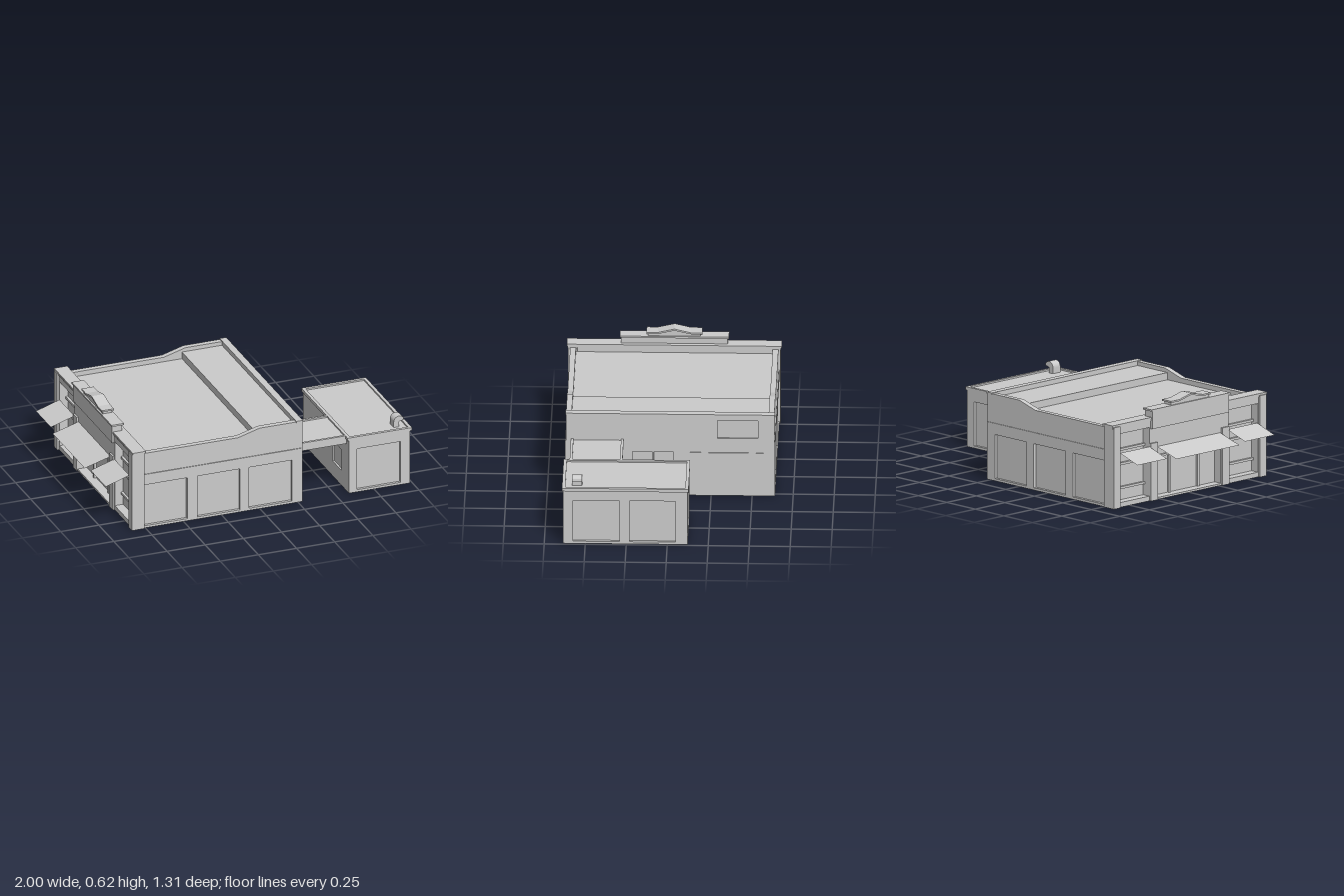
import * as THREE from 'three';

const mat = new THREE.MeshStandardMaterial({ color: 0xcccccc, side: THREE.DoubleSide, flatShading: true });

export function createModel() {
  const model = new THREE.Group();

  const add = (name, geo, parent = model) => {
    const mesh = new THREE.Mesh(geo, mat);
    mesh.name = name;
    parent.add(mesh);
    return mesh;
  };
  // Box given by its limits on each axis
  const box = (name, x0, x1, y0, y1, z0, z1, parent) =>
    add(name, new THREE.BoxGeometry(x1 - x0, y1 - y0, z1 - z0)
      .translate((x0 + x1) / 2, (y0 + y1) / 2, (z0 + z1) / 2), parent);

  const rect = ([a, b, c, d]) => [[a, c], [b, c], [b, d], [a, d]];
  const toVec = pts => pts.map(p => new THREE.Vector2(...p));
  const extrude = (outline, holes, depth) => {
    const shape = new THREE.Shape(toVec(outline));
    holes.forEach(h => shape.holes.push(new THREE.Path(toVec(rect(h)))));
    return new THREE.ExtrudeGeometry(shape, { depth, bevelEnabled: false });
  };
  // Wall across x, starting at z and running toward +z
  const wallX = (name, outline, holes, z, depth) =>
    add(name, extrude(outline, holes, depth).translate(0, 0, z));
  // Wall across z, starting at x and running toward +x; outline is in (z, y)
  const wallZ = (name, outline, holes, x, depth) =>
    add(name, extrude(outline.map(([z, y]) => [-z, y]).reverse(),
      holes.map(([a, b, c, d]) => [-b, -a, c, d]), depth)
      .rotateY(Math.PI / 2).translate(x, 0, 0));
  // Thin sheets that close the openings
  const panelX = (name, [a, b, c, d], z) =>
    add(name, new THREE.PlaneGeometry(b - a, d - c).translate((a + b) / 2, (c + d) / 2, z));
  const panelZ = (name, [a, b, c, d], x) =>
    add(name, new THREE.PlaneGeometry(b - a, d - c).rotateY(Math.PI / 2).translate(x, (c + d) / 2, (a + b) / 2));

  // Long side walls: panelled base, slightly set back upper wall with a raised parapet
  const bays = [[-0.755, -0.475, 0.015, 0.29], [-0.41, -0.13, 0.015, 0.29], [-0.07, 0.21, 0.015, 0.29]];
  const upper = [[-0.77, 0.36], [0.28, 0.36], [0.28, 0.54], [0, 0.54], [-0.14, 0.5], [-0.77, 0.5]];
  for (const s of [1, -1]) {
    const name = s > 0 ? 'front' : 'back';
    wallX(name + 'Wall', rect([-0.77, 0.28, 0, 0.36]), bays, s > 0 ? 0.62 : -0.64, 0.02);
    wallX(name + 'UpperWall', upper, [], s > 0 ? 0.6 : -0.635, 0.035);
    bays.forEach(b => panelX(name + 'Panel', b, s * 0.621));
  }

  // Long wall facing the annex, with its window, hatch and door
  const openings = [[-0.535, -0.29, 0.385, 0.505], [-0.02, 0.23, 0.1, 0.29], [0.36, 0.51, 0.012, 0.27]];
  wallZ('sideWall', rect([-0.635, 0.635, 0, 0.36]), openings.slice(1), 0.26, 0.02);
  wallZ('sideUpperWall', rect([-0.635, 0.635, 0.36, 0.54]), openings.slice(0, 1), 0.24, 0.04);
  openings.forEach((o, i) => panelZ(['window', 'serviceWindow', 'sideDoor'][i], o, i ? 0.262 : 0.27));
  box('sideCoping', 0.24, 0.283, 0.535, 0.545, -0.638, 0.638);
  box('sideBand', 0.27, 0.286, 0.25, 0.29, -0.57, -0.12);
  box('windowMullion', 0.26, 0.275, 0.1, 0.29, 0.1, 0.11);
  box('doorStep', 0.28, 0.31, 0, 0.01, 0.37, 0.5);

  // Roof in two levels with a riser
  box('lowerRoof', -0.77, -0.02, 0.465, 0.47, -0.61, 0.61);
  box('upperRoof', -0.02, 0.25, 0.51, 0.515, -0.61, 0.61);
  box('roofRiser', -0.022, -0.018, 0.465, 0.515, -0.61, 0.61);

  // Shop front: three glazed bays between piers
  const side = [0.335, 0.585, 0.03, 0.46];
  const shopBays = [side, [-0.585, -0.335, 0.03, 0.46], [-0.27, 0.27, 0.012, 0.33]];
  wallZ('shopFront', rect([-0.64, 0.64, 0, 0.51]), shopBays, -0.83, 0.07);
  shopBays.forEach(b => panelZ('shopGlass', b, -0.775));
  box('shopCap', -0.838, -0.752, 0.512, 0.523, -0.655, 0.655);
  box('shopCapBase', -0.834, -0.756, 0.5, 0.512, -0.65, 0.65);
  box('entryFloor', -0.835, -0.76, 0, 0.012, -0.27, 0.27);
  for (const s of [1, -1]) {
    box('cornerPier', -0.842, -0.758, 0, 0.51, s * 0.62 - 0.028, s * 0.62 + 0.028);
    box('innerPier', -0.842, -0.8, 0, 0.36, s * 0.302 - 0.03, s * 0.302 + 0.03);
    for (const y of [0.1, 0.25, 0.34]) {
      box('shopRail', -0.79, -0.77, y, y + 0.015, s * 0.46 - 0.125, s * 0.46 + 0.125);
    }
    box('entryPost', -0.79, -0.77, 0.012, 0.33, s * 0.12 - 0.008, s * 0.12 + 0.008);
  }
  box('entryTransom', -0.79, -0.77, 0.25, 0.262, -0.27, 0.27);

  // Sloped flat awnings
  const awning = (z0, z1, xOut, yOut, yIn) => {
    const geo = new THREE.PlaneGeometry(1, 1);
    const p = geo.attributes.position;
    for (let i = 0; i < 4; i++) {
      const outer = p.getY(i) < 0;
      p.setXYZ(i, outer ? xOut : -0.83, outer ? yOut : yIn, p.getX(i) < 0 ? z0 : z1);
    }
    geo.computeVertexNormals();
    add('awning', geo);
  };
  awning(-0.27, 0.265, -1, 0.28, 0.33);
  awning(-0.585, -0.335, -0.985, 0.29, 0.34);
  awning(0.325, 0.578, -0.985, 0.29, 0.34);

  // Stepped gable sign above the entry
  box('signBoard', -0.845, -0.78, 0.45, 0.562, -0.325, 0.325);
  box('signCap', -0.85, -0.77, 0.562, 0.573, -0.333, 0.333);
  wallZ('gable', [[-0.16, 0.57], [0.16, 0.57], [0.16, 0.592], [0.1, 0.592], [0, 0.615], [-0.1, 0.592], [-0.16, 0.592]],
    [], -0.84, 0.06);
  wallZ('gableCap', [[-0.17, 0.59], [-0.1, 0.59], [0, 0.613], [0.1, 0.59], [0.17, 0.59],
    [0.17, 0.6], [0.1, 0.6], [0, 0.624], [-0.1, 0.6], [-0.17, 0.6]], [], -0.85, 0.08);

  // Annex walls
  const annexBay = [0.64, 0.925, 0.015, 0.29];
  for (const s of [1, -1]) {
    const z = s > 0 ? 0.635 : -0.125;
    wallX('annexEndWall', rect([0.585, 0.987, 0, 0.36]), [annexBay], s > 0 ? z - 0.02 : z, 0.02);
    panelX('annexEndPanel', annexBay, z - s * 0.018);
  }
  const annexSide = [[-0.05, 0.23, 0.015, 0.29], [0.29, 0.575, 0.015, 0.29]];
  wallZ('annexOuterWall', rect([-0.12, 0.63, 0, 0.36]), annexSide, 0.967, 0.02);
  annexSide.forEach(b => panelZ('annexOuterPanel', b, 0.969));
  const annexWindow = [0.36, 0.51, 0.1, 0.24];
  wallZ('annexInnerWall', rect([-0.12, 0.63, 0, 0.36]), [annexWindow], 0.585, 0.02);
  panelZ('annexWindow', annexWindow, 0.597);

  // Roof slab with a raised rim, for the annex and the link canopy
  const rimRoof = (name, x0, x1, z0, z1, y0, rim, openEnds) => {
    const g = new THREE.Group();
    g.name = name;
    model.add(g);
    box('roofSlab', x0, x1, y0, 0.365, z0 + 0.005, z1 - 0.005, g);
    box('rim', x0, x1, 0.355, 0.375, z0, z0 + rim, g);
    box('rim', x0, x1, 0.355, 0.375, z1 - rim, z1, g);
    if (openEnds) return;
    box('rim', x0, x0 + rim, 0.355, 0.375, z0, z1, g);
    box('rim', x1 - rim, x1, 0.355, 0.375, z0, z1, g);
  };
  rimRoof('annexRoof', 0.575, 0.997, -0.13, 0.642, 0.355, 0.02, false);
  rimRoof('linkCanopy', 0.28, 0.585, 0.283, 0.605, 0.32, 0.016, true);

  // Curved roof vent: a square duct bent over to the side
  const duct = new THREE.Shape();
  duct.moveTo(0.9, 0.365);
  duct.lineTo(0.9, 0.4);
  duct.absarc(0.935, 0.402, 0.035, Math.PI, Math.PI * 0.2, true);
  duct.lineTo(0.966, 0.408);
  duct.lineTo(0.936, 0.4);
  duct.lineTo(0.936, 0.365);
  add('roofVent', new THREE.ExtrudeGeometry(duct, { depth: 0.062, bevelEnabled: false, curveSegments: 8 })
    .translate(0, 0, 0.52));

  return model;
}
